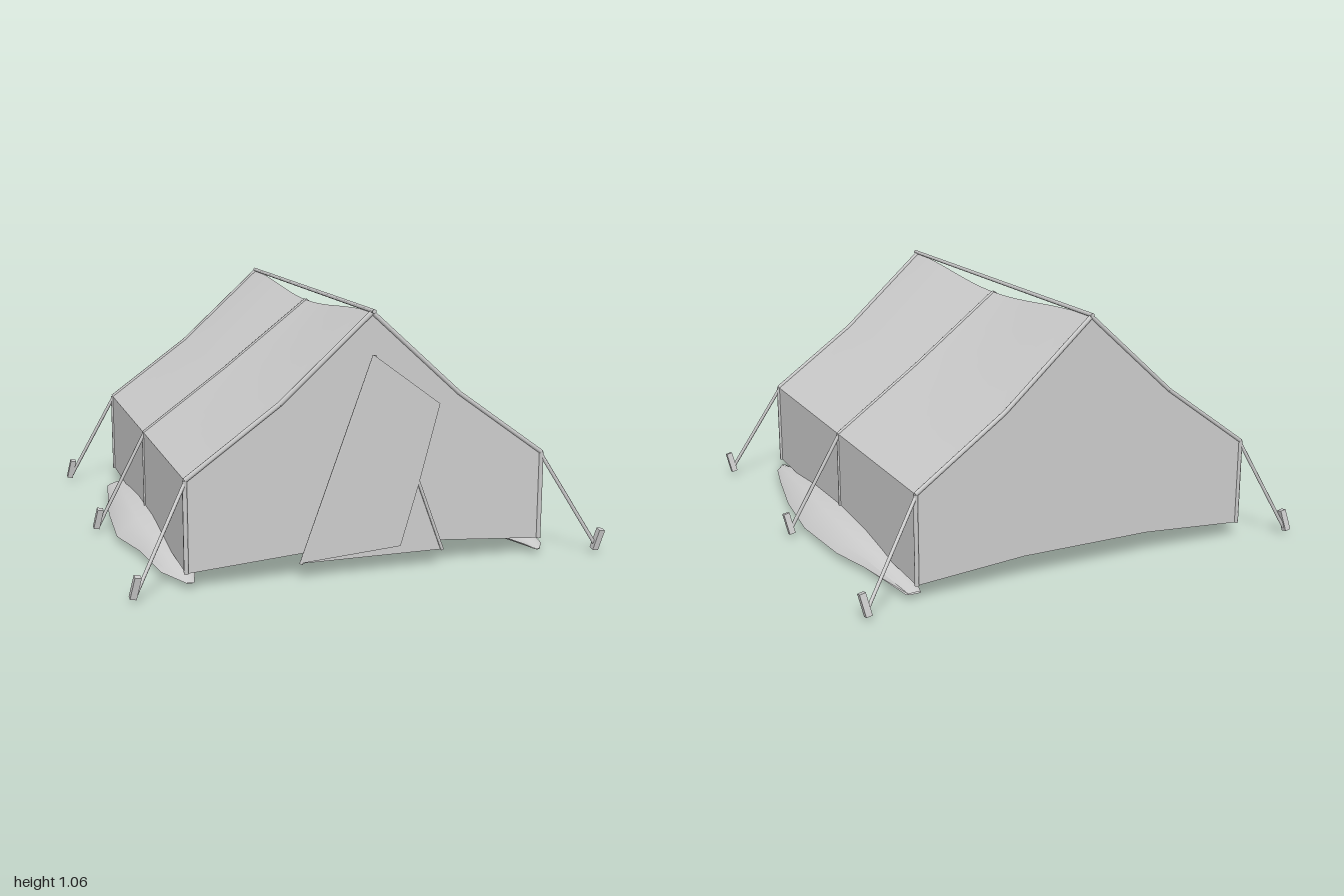
import * as THREE from 'three';
import { toCreasedNormals } from 'three/addons/utils/BufferGeometryUtils.js';

const canvas = new THREE.MeshStandardMaterial({ color: 0xcccccc, side: THREE.DoubleSide });
canvas.name = 'pale grey';

const C = -0.012;                       // centre line of the tent
const FRONT = 0.845, BACK = -0.86, MID = -0.008;
const FOOT = 0.07;

// Frame outline, from one wall foot over the ridge to the other
const PROFILE = [
  [-0.75, FOOT], [-0.75, 0.44], [-0.375, 0.71], [0, 1.05], [0.375, 0.71], [0.75, 0.44], [0.75, FOOT],
].map(([x, y]) => [x + C, y]);

function add(group, name, geometry) {
  const mesh = new THREE.Mesh(geometry, canvas);
  mesh.name = name;
  group.add(mesh);
  return mesh;
}

// Surface through rows of points; each row has the same number of points
function loft(rows, closed = false) {
  const n = rows[0].length, index = [];
  for (let i = 0; i < rows.length - 1; i++) {
    for (let j = 0; j < (closed ? n : n - 1); j++) {
      const a = i * n + j, b = i * n + (j + 1) % n;
      index.push(a, a + n, b, b, a + n, b + n);
    }
  }
  const g = new THREE.BufferGeometry();
  g.setAttribute('position', new THREE.Float32BufferAttribute(rows.flat(2), 3));
  g.setIndex(index);
  g.computeVertexNormals();
  return toCreasedNormals(g, 0.6);
}

function panel(points, z) {
  const g = new THREE.ShapeGeometry(new THREE.Shape(points.map(p => new THREE.Vector2(...p))));
  return g.translate(0, 0, z);
}

function rod(group, name, from, to, r = 0.008) {
  const a = new THREE.Vector3(...from), b = new THREE.Vector3(...to);
  const dir = b.clone().sub(a);
  const mesh = add(group, name, new THREE.CylinderGeometry(r, r, dir.length(), 6));
  mesh.position.copy(a).add(b).multiplyScalar(0.5);
  mesh.quaternion.setFromUnitVectors(new THREE.Vector3(0, 1, 0), dir.normalize());
}

// The ridge hangs a little between the end frames
const sag = z => 0.05 * (0.5 + 0.5 * Math.cos(Math.PI * Math.min(1, Math.abs(z) / 0.85)));
const profileAt = z => PROFILE.map(([x, y], i) => [x, i === 3 ? y - sag(z) : y, z]);

// Long heap lying along a wall; stations are [z, outer, inner, top]
function drift(stations, side, centre) {
  return loft(stations.map(([z, outer, inner, top, low = 0.005]) => {
    const at = (u, y) => [side * (centre + (u > 0 ? u * outer : u * inner)), y, z];
    const rim = 0.03, h = top - rim;
    return [
      at(1, rim), at(0.8, rim + h * 0.45), at(0.45, rim + h * 0.85), at(0, top),
      at(-0.45, rim + h * 0.85), at(-0.8, rim + h * 0.45), at(-1, rim),
      at(-0.6, low), at(0.6, low),
    ];
  }), true);
}

export function createModel() {
  const tent = new THREE.Group();
  tent.name = 'tent';

  // Roof and side walls in one sheet
  const rows = [];
  for (let i = 0; i <= 16; i++) rows.push(profileAt(BACK + (FRONT - BACK) * i / 16));
  add(tent, 'roofAndWalls', loft(rows));

  // Gable ends, with a raised hem in the middle
  const gable = [...PROFILE, [0.275, 0.105], [-0.3, 0.105]];
  add(tent, 'frontGable', panel(gable, FRONT));
  add(tent, 'backGable', panel(gable, BACK));

  // Frame poles, guy ropes and pegs at three stations
  [[FRONT, 0.92, 0.01], [MID, MID, 0.007], [BACK, -0.925, 0.009]].forEach(([z, pegZ, r]) => {
    const pts = profileAt(z);
    for (let i = 0; i < pts.length - 1; i++) rod(tent, 'framePole', pts[i], pts[i + 1], r);
    for (const s of [-1, 1]) {
      rod(tent, 'guyRope', [C + s * 0.75, 0.43, z], [s * 0.97, 0.035, pegZ], 0.008);
      const peg = add(tent, 'peg', new THREE.BoxGeometry(0.026, 0.092, 0.026));
      peg.position.set(s * 0.973, 0.066, pegZ + 0.004);
      peg.rotation.set(0.2, 0, -0.2);
    }
  });
  rod(tent, 'ridgePole', [C, 1.055, -0.87], [C, 1.055, 0.87], 0.009);

  // Door: backing sheet, poles and the folded-over flap
  const top = [-0.012, 0.885];
  const door = new THREE.Group();
  door.name = 'door';
  tent.add(door);
  add(door, 'doorSheet', panel([top, [-0.31, 0.072], [0.29, 0.072]], 0.868));
  rod(door, 'doorPole', [...top, 0.874], [-0.31, 0.072, 0.874], 0.007);
  rod(door, 'doorPole', [...top, 0.874], [0.29, 0.072, 0.874], 0.007);
  add(door, 'doorFlap', panel([top, [-0.31, 0.078], [0.105, 0.108], [0.18, 0.36], [0.265, 0.68]], 0.882));

  // Heaps banked against both walls
  add(tent, 'leftDrift', drift([
    [-0.84, 0.04, 0.02, 0.035, 0.028], [-0.52, 0.09, 0.10, 0.085, 0.012], [-0.33, 0.14, 0.15, 0.105],
    [0, 0.17, 0.175, 0.115], [0.33, 0.14, 0.15, 0.1], [0.62, 0.085, 0.09, 0.07, 0.01],
    [0.8, 0.045, 0.03, 0.045, 0.02], [0.87, 0, 0.02, 0.032, 0.028],
  ], 1, 0.733));
  add(tent, 'rightDrift', drift([
    [0.84, 0.01, 0.02, 0.032, 0.028], [0.68, 0.08, 0.06, 0.06, 0.015], [0.4, 0.11, 0.13, 0.09],
    [0.17, 0.17, 0.17, 0.112], [-0.18, 0.15, 0.165, 0.11], [-0.4, 0.12, 0.14, 0.09],
    [-0.67, 0.08, 0.06, 0.05, 0.02], [-0.68, 0.01, 0.01, 0.032, 0.028],
  ], -1, 0.75));

  return tent;
}
